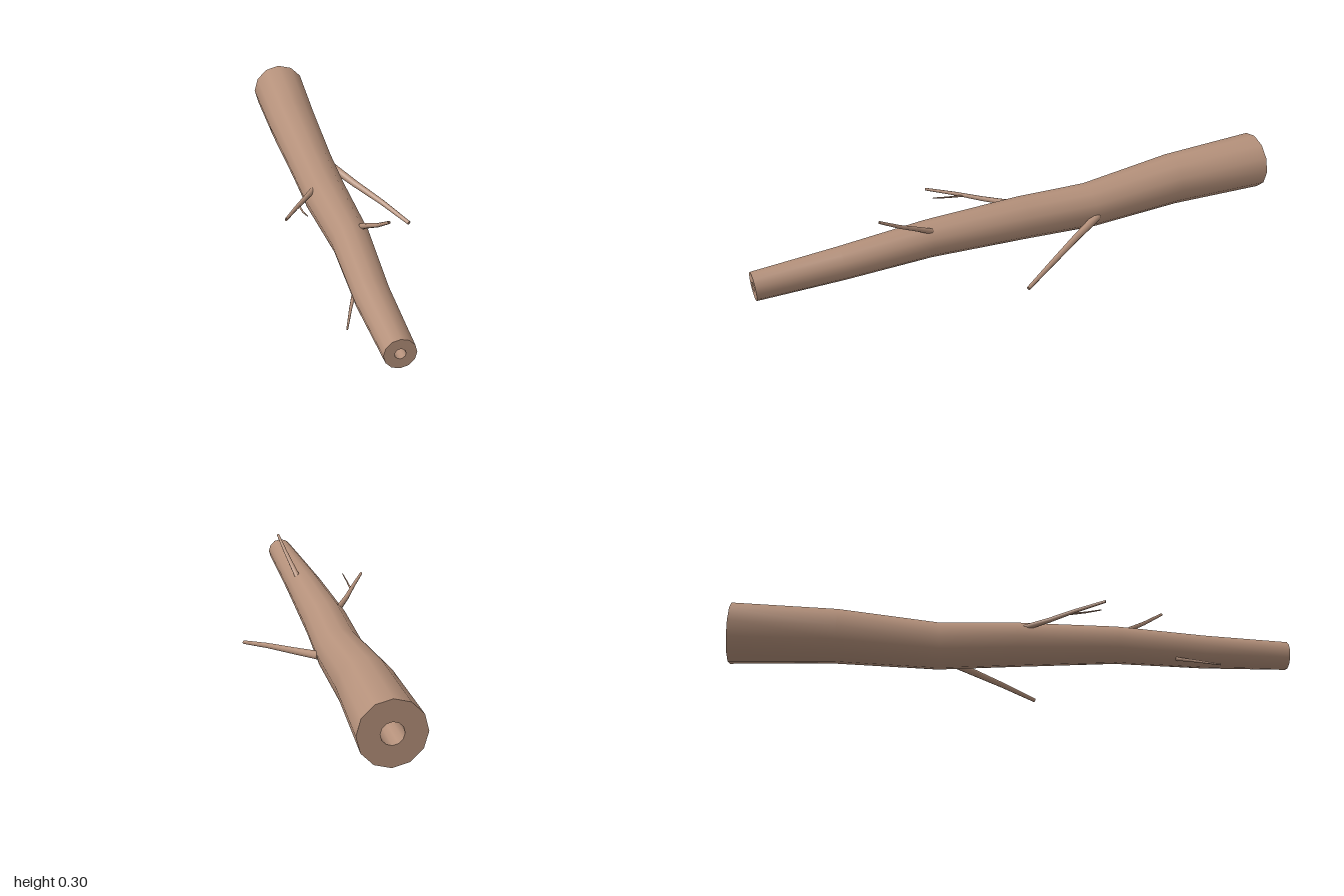
import * as THREE from 'three';
import { mergeGeometries } from 'three/addons/utils/BufferGeometryUtils.js';

const UP = new THREE.Vector3(0, 1, 0);

// Joins consecutive rings of points into one smooth strip
function strip(rings) {
  const n = rings[0].length, index = [];
  for (let i = 0; i < rings.length - 1; i++) {
    for (let j = 0; j < n; j++) {
      const k = (j + 1) % n;
      const a = i * n + j, b = i * n + k, c = a + n, d = b + n;
      index.push(a, b, d, a, d, c);
    }
  }
  const geometry = new THREE.BufferGeometry().setFromPoints(rings.flat());
  geometry.setIndex(index);
  geometry.computeVertexNormals();
  return geometry;
}

// Ring of points around a centre, square to the direction
function ring(center, direction, radius, sides) {
  const u = new THREE.Vector3().crossVectors(UP, direction).normalize();
  const v = new THREE.Vector3().crossVectors(direction, u).normalize();
  return Array.from({ length: sides }, (_, j) => {
    const a = (j / sides) * Math.PI * 2;
    return center.clone().addScaledVector(u, Math.cos(a) * radius).addScaledVector(v, Math.sin(a) * radius);
  });
}

// Hollow tapering limb; stations are [x, y, z, radius] from base to tip
function limb(stations, sides, boreRatio, straight) {
  const centers = stations.map(([x, y, z]) => new THREE.Vector3(x, y, z));
  const last = centers.length - 1;
  const makeRing = (i, scale) => {
    const direction = straight
      ? new THREE.Vector3(0, 0, 1)
      : centers[Math.min(i + 1, last)].clone().sub(centers[Math.max(i - 1, 0)]).normalize();
    return ring(centers[i], direction, stations[i][3] * scale, sides);
  };
  const outer = centers.map((_, i) => makeRing(i, 1));
  let bore = centers.map((_, i) => makeRing(i, boreRatio)).reverse();
  if (straight) bore = [bore[0], bore[last]];
  return mergeGeometries([
    strip(outer),
    strip([outer[last], bore[0]]),
    strip(bore),
    strip([bore[bore.length - 1], outer[0]]),
  ]);
}

export function createModel() {
  const group = new THREE.Group();
  group.name = 'fallenLog';
  const bark = new THREE.MeshStandardMaterial({ color: 0xb5917b });

  const add = (name, stations, sides, boreRatio, straight = false) => {
    const mesh = new THREE.Mesh(limb(stations, sides, boreRatio, straight), bark);
    mesh.name = name;
    group.add(mesh);
  };

  // Trunk, thick at the back and bored right through
  add('trunk', [
    [-0.04, 0.11, -1, 0.108],
    [-0.048, 0.111, -0.63, 0.097],
    [-0.042, 0.092, -0.27, 0.084],
    [-0.047, 0.107, 0, 0.08],
    [-0.038, 0.126, 0.37, 0.068],
    [-0.045, 0.11, 0.69, 0.06],
    [-0.04, 0.11, 1, 0.051],
  ], 12, 0.34, true);

  // Branches, each rooted inside the trunk
  add('leftBranch', [
    [0.03, 0.085, -0.275, 0.016],
    [0.098, 0.062, -0.15, 0.013],
    [0.173, 0.04, -0.02, 0.01],
    [0.242, 0.013, 0.105, 0.007],
  ], 8, 0.4);
  add('rightBranch', [
    [-0.1, 0.15, 0.03, 0.011],
    [-0.148, 0.162, 0.115, 0.009],
    [-0.193, 0.18, 0.2, 0.007],
    [-0.246, 0.196, 0.3, 0.005],
  ], 8, 0.4);
  add('rightTwig', [
    [-0.178, 0.174, 0.18, 0.004],
    [-0.177, 0.184, 0.24, 0.003],
    [-0.172, 0.199, 0.297, 0.002],
  ], 6, 0.4);
  add('topBranch', [
    [-0.007, 0.175, 0.365, 0.011],
    [0.006, 0.208, 0.42, 0.009],
    [0.021, 0.247, 0.49, 0.007],
    [0.038, 0.297, 0.565, 0.005],
  ], 8, 0.4);
  add('lowerBranch', [
    [-0.077, 0.064, 0.58, 0.007],
    [-0.104, 0.046, 0.645, 0.005],
    [-0.134, 0.023, 0.725, 0.003],
  ], 8, 0.4);

  return group;
}
